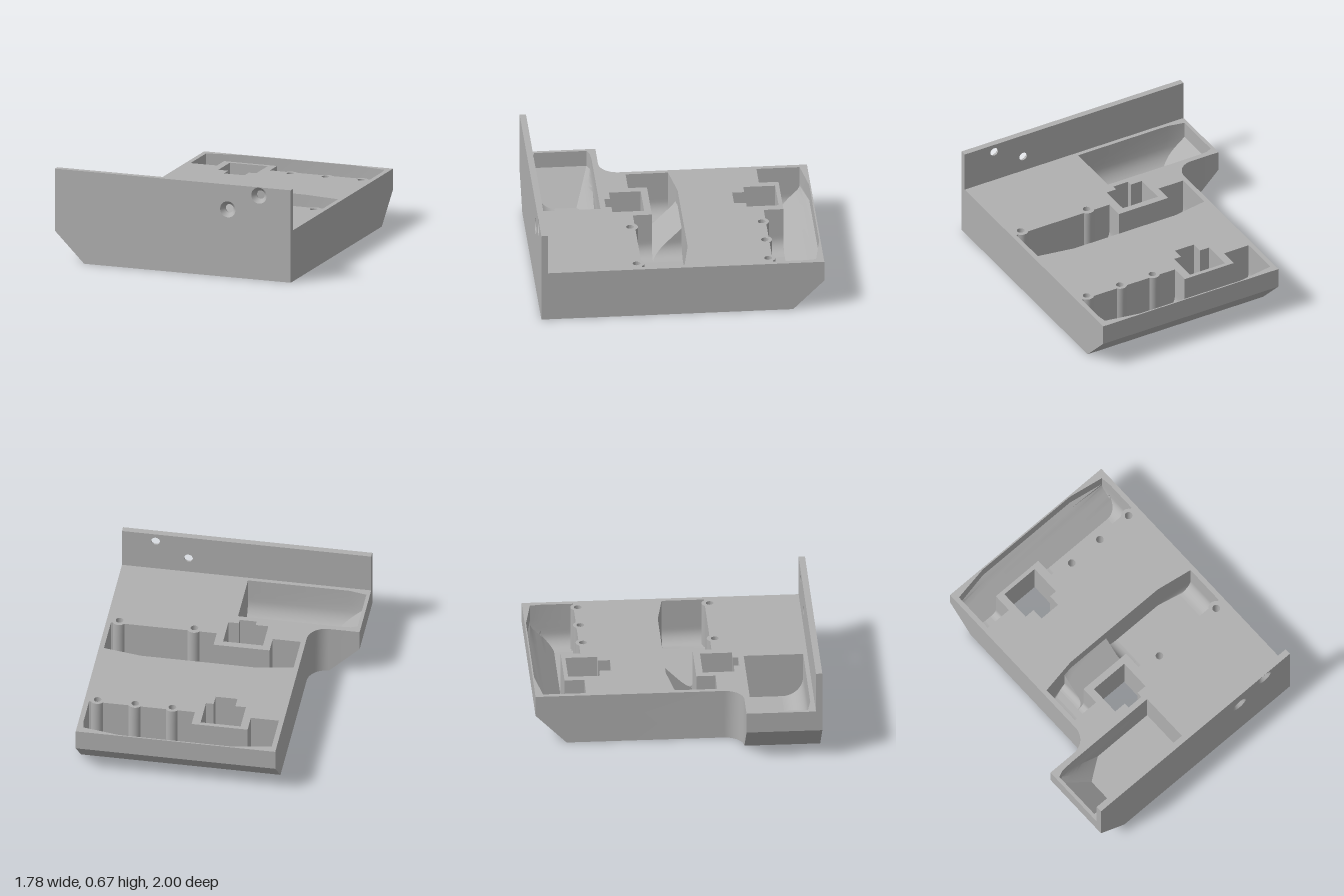
import * as THREE from 'three';
import { toCreasedNormals } from 'three/addons/utils/BufferGeometryUtils.js';

const TOP = 0.37, FLOOR = 0.04;
const grey = new THREE.MeshStandardMaterial({ color: 0xb0b0b0, side: THREE.DoubleSide });
grey.name = 'grey plastic';

const clamp = THREE.MathUtils.clamp;
const lerp = THREE.MathUtils.lerp;

// Plan loops are lists of [x, z]; a wall joins the loops found at each height.
function wall(loopAt, heights, inward) {
  const pos = [];
  for (let k = 0; k + 1 < heights.length; k++) {
    const [ya, yb] = [heights[k], heights[k + 1]];
    const a = loopAt(ya), b = loopAt(yb);
    for (let i = 0; i < a.length; i++) {
      const j = (i + 1) % a.length;
      const [p, q] = inward ? [j, i] : [i, j];
      const A = [a[p][0], ya, a[p][1]], B = [a[q][0], ya, a[q][1]];
      const C = [b[q][0], yb, b[q][1]], D = [b[p][0], yb, b[p][1]];
      pos.push(...A, ...B, ...C, ...A, ...C, ...D);
    }
  }
  const g = new THREE.BufferGeometry();
  g.setAttribute('position', new THREE.Float32BufferAttribute(pos, 3));
  return toCreasedNormals(g, 0.5);
}

// Flat plate at height y, facing up or down.
function plate(loop, holes, y, up) {
  const pts = l => l.map(([x, z]) => new THREE.Vector2(x, up ? -z : z));
  const shape = new THREE.Shape(pts(loop));
  holes.forEach(h => shape.holes.push(new THREE.Path(pts(h))));
  return new THREE.ShapeGeometry(shape).rotateX(up ? -Math.PI / 2 : Math.PI / 2).translate(0, y, 0);
}

const arc = (cx, cz, r, a0, a1, n) => Array.from({ length: n + 1 }, (_, i) => {
  const a = lerp(a0, a1, i / n);
  return [cx + r * Math.cos(a), cz + r * Math.sin(a)];
});

// Inset of a rounded floor edge, and the run of a 45 degree sloping floor.
const fillet = (y, r) => {
  const d = clamp(r - (y - FLOOR), 0, r);
  return r - Math.sqrt(r * r - d * d);
};
const slope = y => clamp(0.25 - y, 0, 0.21);

// Outline with the concave corner; chamfered below y = 0.22 at the back and left.
const outline = [
  [-0.535, -1], [0.89, -1], [0.89, 1], [-0.89, 1], [-0.89, 0.465],
  ...arc(-0.67, 0.33, 0.135, Math.PI / 2, 0, 12),
];
const bodyLoop = y => {
  const c = Math.max(0, 0.22 - y);
  return outline.map(([x, z]) => [Math.max(x, -0.89 + c), Math.max(z, -1 + c)]);
};

// Screw boss bulges along a pocket's front edge, running from right to left.
const bosses = (xs, edge, right) => xs.flatMap(x =>
  arc(x, edge + 0.03, 0.052, -0.62, -Math.PI + 0.62, 8).map(([px, pz]) => [Math.min(px, right), pz]));

// Rear pocket with its whole back floor sloping
const rearPocket = y => {
  const f = fillet(y, 0.1), g = fillet(y, 0.05), s = -0.99 + slope(y), r = 0.855 - f;
  const back = z => Math.max(z, s);
  return [
    [-0.5 + f, back(-0.945)], [-0.235, back(-0.99)], [0.585, back(-0.99)],
    [r - 0.01, back(-0.945)], [r, back(-0.87)], [r, -0.64],
    ...bosses([0.8, 0.53, 0.265], -0.64, r),
    [0.1 + f, -0.64], [0.1 + f, -0.779], [-0.3 - g, -0.779], [-0.3 - g, -0.64], [-0.5 + f, -0.64],
  ];
};

// Middle pocket, sloping only between its two bays
const middlePocket = y => {
  const f = fillet(y, 0.1), g = fillet(y, 0.05), s = -0.06 + slope(y), r = 0.855 - f;
  return [
    [-0.5 + f, -0.015], [-0.3 - g, -0.049], [-0.3 - g, Math.max(-0.049, s)], [-0.235, s], [0.1 + f, s],
    [0.1 + f, -0.06], [0.585, -0.06], [r, -0.015], [r, 0.285],
    ...bosses([0.8, 0.265], 0.285, r),
    [0.1 + f, 0.285], [0.1 + f, 0.151], [-0.3 - g, 0.151], [-0.3 - g, 0.285], [-0.5 + f, 0.285],
  ];
};

// Front pocket, sloping at the left with a rounded front edge
const frontPocket = y => {
  const t = slope(y) / 0.21, f = fillet(y, 0.15), l = lerp(-0.865, -0.64, t);
  return [
    [l, lerp(0.53, 0.62, t)], [lerp(-0.82, -0.58, t), lerp(0.51, 0.575, t)],
    [lerp(-0.73, -0.48, t), 0.505], [-0.015, 0.505], [-0.015, 0.925 - f],
    [lerp(-0.74, -0.6, t), 0.925 - f], [l, lerp(0.9, 0.925, t) - f],
  ];
};

// Stepped rectangular opening
const opening = (z0, z1, z2, xa, xb) => [
  [-0.245, z0], [0.04, z0], [0.04, z1], [xb, z1], [xb, z2], [xa, z2], [xa, z1], [-0.245, z1],
];

export function createModel() {
  const model = new THREE.Group();
  const add = (name, geometry) => {
    const m = new THREE.Mesh(geometry, grey);
    m.name = name;
    model.add(m);
    return m;
  };

  const through = [
    opening(-0.75, -0.525, -0.44, -0.17, -0.015),
    opening(0.2, 0.425, 0.465, -0.155, -0.035),
    ...[[0.265, -0.61], [0.53, -0.61], [0.8, -0.61], [0.265, 0.32], [0.8, 0.32]]
      .map(([x, z]) => arc(x, z, 0.027, 0, Math.PI * 2 * 19 / 20, 19)),
  ];
  const pockets = { rearPocket, middlePocket, frontPocket };

  // Body shell
  add('bodySides', wall(bodyLoop, [TOP, 0.22, 0], false));
  add('bodyTop', plate(outline, [...through, ...Object.values(pockets).map(p => p(TOP))], TOP, true));
  add('bodyUnderside', plate(bodyLoop(0), through, 0, false));
  through.forEach((loop, i) => add(i < 2 ? 'openingWalls' : 'screwHole', wall(() => loop, [TOP, 0], true)));

  // Pocket walls and floors
  const heights = [TOP, 0.25, 0.22, 0.19, 0.165, 0.14, 0.12, 0.1, 0.085, 0.07, 0.06, 0.052, 0.046, 0.042, FLOOR];
  for (const [name, loopAt] of Object.entries(pockets)) {
    add(name + 'Walls', wall(loopAt, heights, true));
    add(name + 'Floor', plate(loopAt(FLOOR), [], FLOOR, true));
  }

  // Upright front panel in two layers, with countersunk holes
  const screws = [[0.415, 0.49], [0.65, 0.61]];
  const panel = (name, r, z, depth) => {
    const s = new THREE.Shape([[-0.89, TOP], [0.89, TOP], [0.89, 0.67], [-0.89, 0.67]]
      .map(p => new THREE.Vector2(...p)));
    screws.forEach(([x, y]) => s.holes.push(new THREE.Path().absarc(x, y, r, 0, Math.PI * 2, true)));
    add(name, new THREE.ExtrudeGeometry(s, { depth, bevelEnabled: false, curveSegments: 16 }).translate(0, 0, z));
  };
  panel('frontPanelBack', 0.031, 0.955, 0.012);
  panel('frontPanelFace', 0.058, 0.967, 0.033);
  screws.forEach(([x, y]) => add('countersink',
    new THREE.CylinderGeometry(0.058, 0.031, 0.033, 32, 1, true).rotateX(Math.PI / 2).translate(x, y, 0.9835)));

  return model;
}
